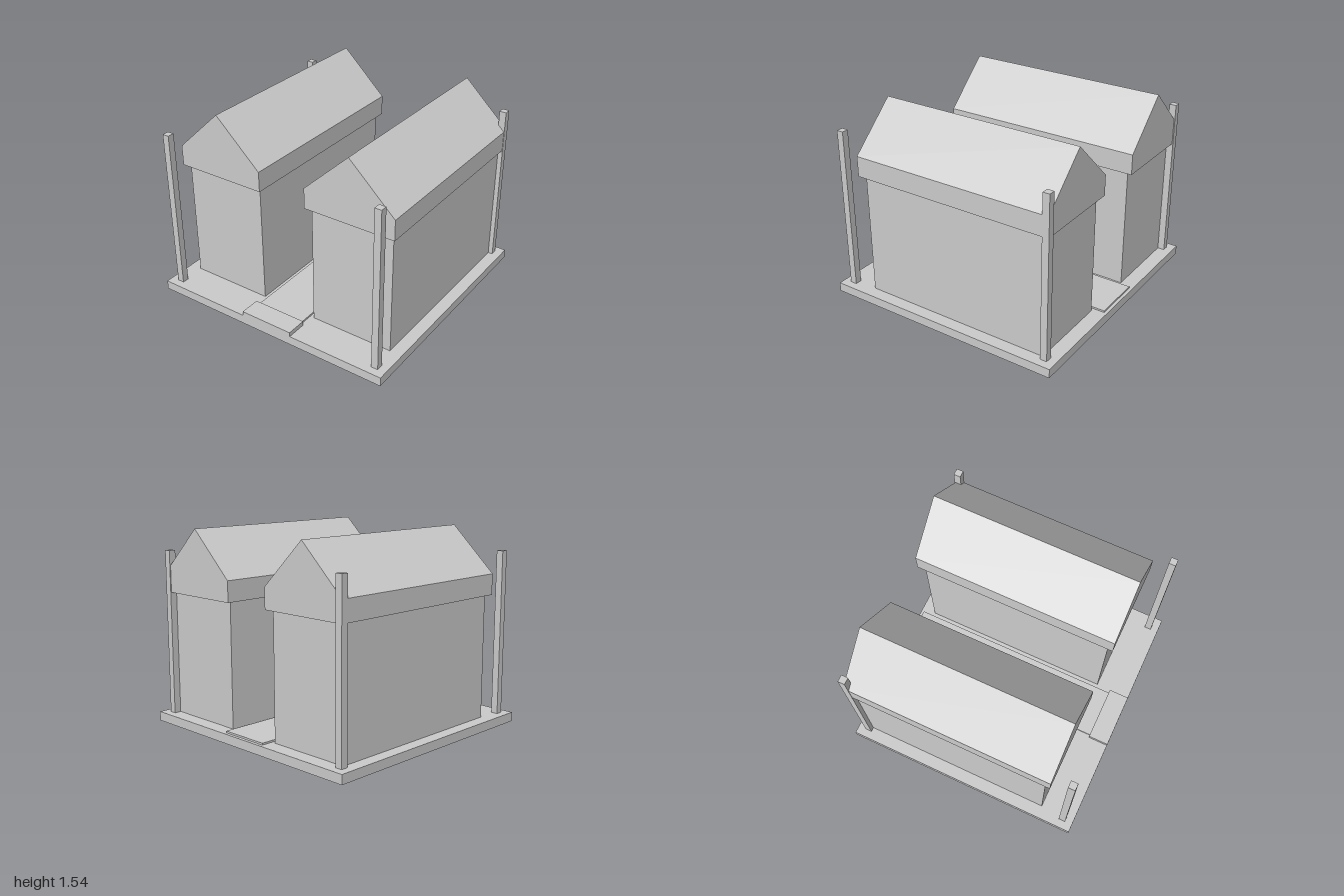
import * as THREE from 'three';

export function createModel() {
  const model = new THREE.Group();
  const material = new THREE.MeshStandardMaterial({ color: 0xcccccc, flatShading: true });

  // Box given by its lower and upper corners
  function box(name, [x0, y0, z0], [x1, y1, z1], parent = model) {
    const mesh = new THREE.Mesh(new THREE.BoxGeometry(x1 - x0, y1 - y0, z1 - z0), material);
    mesh.position.set((x0 + x1) / 2, (y0 + y1) / 2, (z0 + z1) / 2);
    mesh.name = name;
    parent.add(mesh);
  }

  // Ground slab, walkway and entrance step
  const top = 0.072;
  box('baseSlab', [-1, 0, -0.965], [1, top, 0.965]);
  box('walkway', [-0.2, top, -0.94], [0.2, 0.086, 0.94]);
  box('entranceStep', [-0.22, top, 0.802], [0.22, 0.107, 0.965]);

  // Gabled roof outline: fascia, eaves and ridge, centred on x = 0
  const halfWidth = 0.368;
  const gable = new THREE.Shape([
    new THREE.Vector2(-halfWidth, 1.03),
    new THREE.Vector2(halfWidth, 1.03),
    new THREE.Vector2(halfWidth, 1.19),
    new THREE.Vector2(0, 1.537),
    new THREE.Vector2(-halfWidth, 1.19),
  ]);
  const roofGeometry = new THREE.ExtrudeGeometry(gable, { depth: 1.627, bevelEnabled: false });

  for (const [side, s] of [['left', 1], ['right', -1]]) {
    // Long building with overhanging roof
    const building = new THREE.Group();
    building.name = side + 'Building';
    building.position.x = s * 0.567;
    box(side + 'Walls', [-0.335, top, -0.85], [0.335, 1.03, 0.685], building);
    const roof = new THREE.Mesh(roofGeometry, material);
    roof.name = side + 'Roof';
    roof.position.z = -0.897;
    building.add(roof);
    model.add(building);

    // Corner posts
    for (const [end, z] of [['Front', 0.877], ['Back', -0.877]]) {
      const x = s * 0.911, h = 0.027;
      box(side + end + 'Post', [x - h, top, z - h], [x + h, 1.352, z + h]);
    }
  }
  return model;
}
